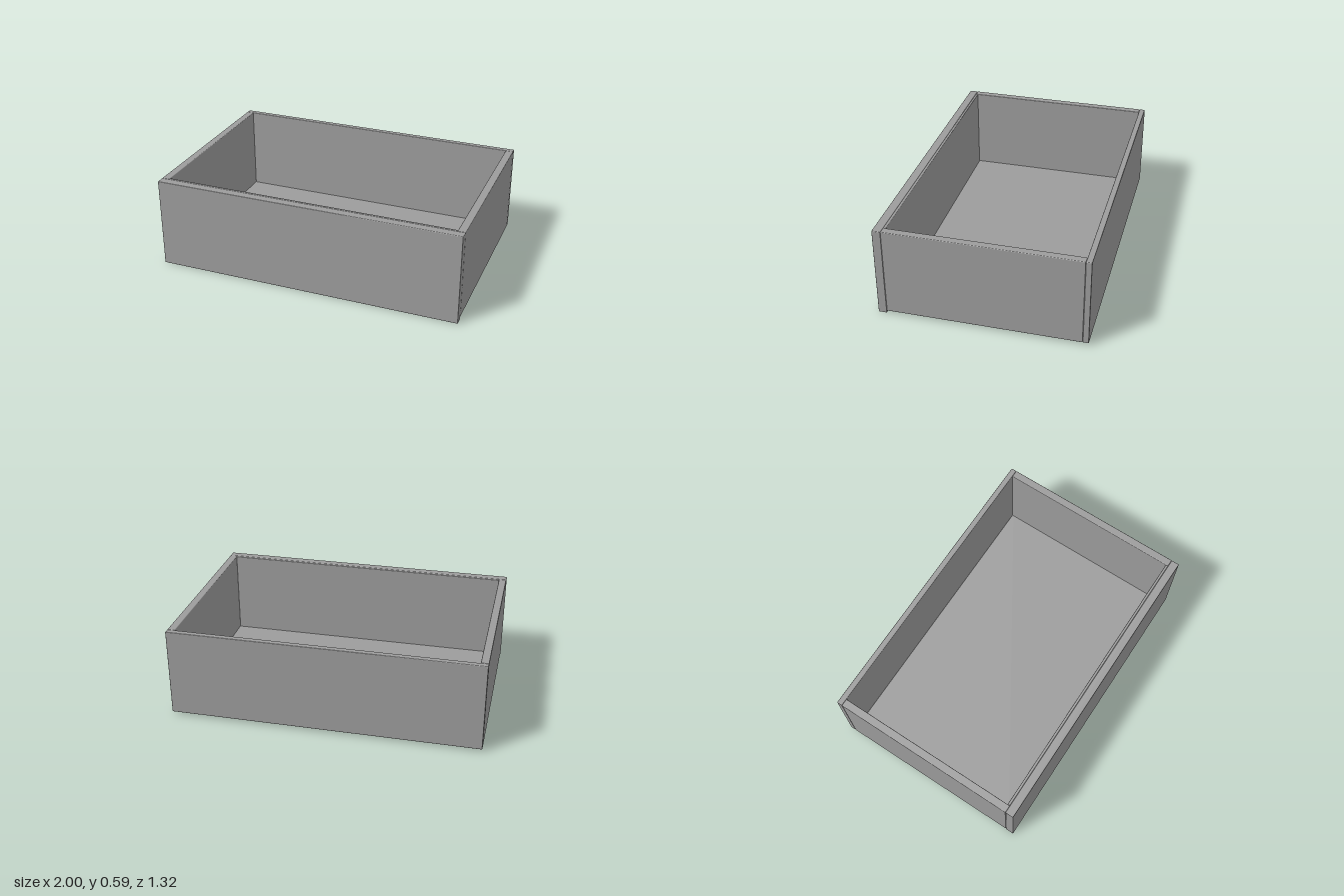
import * as THREE from 'three';
import { RoundedBoxGeometry } from 'three/addons/geometries/RoundedBoxGeometry.js';

const material = new THREE.MeshStandardMaterial({ color: 0x9c9c9c });

// Board with slightly eased edges, given by its min and max on each axis
function board(name, [x0, x1], [y0, y1], [z0, z1]) {
  const geometry = new RoundedBoxGeometry(x1 - x0, y1 - y0, z1 - z0, 2, 0.005);
  const mesh = new THREE.Mesh(geometry, material);
  mesh.name = name;
  mesh.position.set((x0 + x1) / 2, (y0 + y1) / 2, (z0 + z1) / 2);
  return mesh;
}

export function createModel() {
  const drawer = new THREE.Group();
  drawer.name = 'drawer';
  const top = 0.594;
  const bottom = 0.017;

  // Front reaches lower than the other walls
  drawer.add(board('frontPanel', [-1, 1], [0, top], [0.605, 0.66]));
  drawer.add(board('innerFront', [-0.95, 0.95], [bottom, top], [0.588, 0.605]));
  drawer.add(board('backPanel', [-1, 1], [bottom, top], [-0.66, -0.623]));

  // Side walls between front and back
  drawer.add(board('leftSide', [0.95, 1], [bottom, top], [-0.623, 0.605]));
  drawer.add(board('rightSide', [-1, -0.95], [bottom, top], [-0.623, 0.605]));

  // Floor hangs just below the side walls
  drawer.add(board('bottomPanel', [-0.962, 0.962], [0.008, 0.028], [-0.623, 0.605]));
  return drawer;
}
